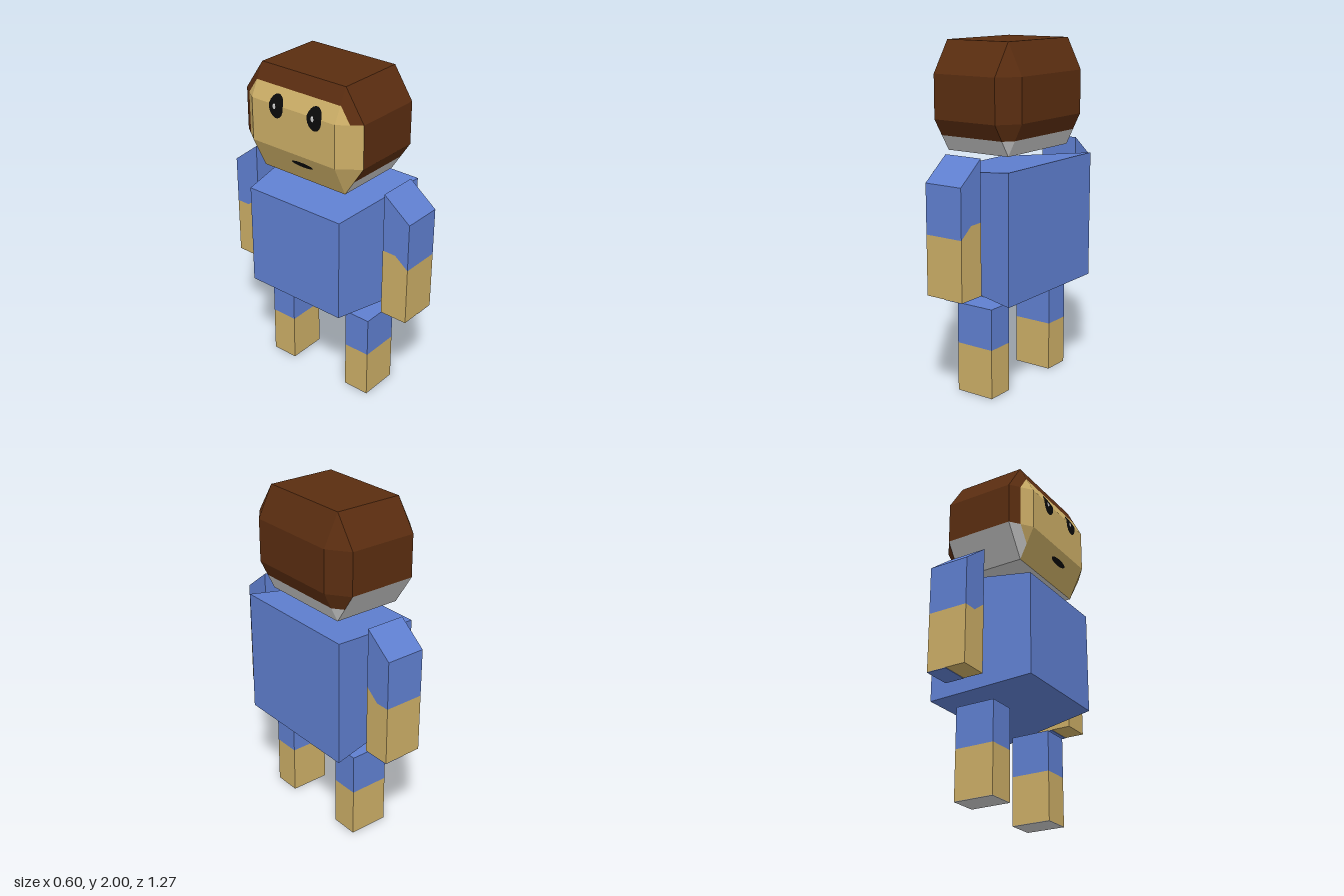
import * as THREE from 'three';

const material = (name, color) => Object.assign(new THREE.MeshStandardMaterial({ color }), { name });

// Flat mesh from convex polygons, each turned to face away from a centre point
function faceted(name, polygons, mat, centre) {
  const pos = [];
  for (const poly of polygons) {
    const p = poly.map(a => new THREE.Vector3(...a));
    const normal = new THREE.Vector3();
    p.forEach((a, i) => normal.add(new THREE.Vector3().crossVectors(a, p[(i + 1) % p.length])));
    if (normal.dot(p[0].clone().sub(centre)) < 0) p.reverse();
    for (let i = 1; i < p.length - 1; i++)
      for (const v of [p[0], p[i], p[i + 1]]) pos.push(v.x, v.y, v.z);
  }
  const g = new THREE.BufferGeometry();
  g.setAttribute('position', new THREE.Float32BufferAttribute(pos, 3));
  g.computeVertexNormals();
  const mesh = new THREE.Mesh(g, mat);
  mesh.name = name;
  return mesh;
}

// Split a convex polygon by the sign of f: [positive part, negative part]
function cut(poly, f) {
  const parts = [[], []];
  poly.forEach((a, i) => {
    const b = poly[(i + 1) % poly.length], fa = f(a), fb = f(b);
    parts[fa >= 0 ? 0 : 1].push(a);
    if (fa * fb < 0) {
      const m = a.map((v, k) => v + (b[k] - v) * fa / (fa - fb));
      parts[0].push(m);
      parts[1].push(m);
    }
  });
  return parts;
}

// Prism from a [z, y] outline, running from x0 to x1
function prism(name, outline, x0, x1, mat) {
  const shape = new THREE.Shape(outline.map(([z, y]) => new THREE.Vector2(-z, y)));
  const g = new THREE.ExtrudeGeometry(shape, { depth: x1 - x0, bevelEnabled: false });
  g.rotateY(Math.PI / 2).translate(x0, 0, 0);
  const mesh = new THREE.Mesh(g, mat);
  mesh.name = name;
  return mesh;
}

export function createModel() {
  const hair = material('brown hair', 0x5a2d10);
  const skin = material('tan skin', 0xcbad66);
  const cloth = material('blue cloth', 0x5f7fd0);
  const pale = material('pale grey', 0xcccccc);
  const black = material('black', 0x0a0a0a);
  const model = new THREE.Group();
  model.name = 'blockyFigure';

  // Head: a chamfered box with its face towards -x
  const head = new THREE.Group();
  head.name = 'head';
  const centre = new THREE.Vector3(0, 1.69, 0.01);
  const yBase = 1.385, yLow = 1.57, yHigh = 1.82, yTop = 2;
  const X = { '-1': [-0.3, -0.21], '1': [0.295, 0.205] };
  const Z = { '-1': [-0.403, -0.28], '1': [0.417, 0.297] };
  const onX = (s, y, t) => [X[s][0], y, Z[t][1]];
  const onZ = (s, y, t) => [X[s][1], y, Z[t][0]];
  const cap = (s, y, t) => [X[s][1], y, Z[t][1]];
  const parts = { hair: [], skin: [], pale: [] };
  const add = (key, poly) => { if (poly.length > 2) parts[key].push(poly); };
  const split = (poly, f, above, below) => {
    const [p, n] = cut(poly, f);
    add(above, p);
    add(below, n);
  };
  const hairline = a => a[1] - 1.475;
  const rect = y => [cap(-1, y, -1), cap(-1, y, 1), cap(1, y, 1), cap(1, y, -1)];
  add('hair', rect(yTop));
  add('pale', rect(yBase));

  for (const s of [-1, 1]) {
    // front and back of the head with their sloping bands
    add(s < 0 ? 'skin' : 'hair', [onX(s, yLow, -1), onX(s, yLow, 1), onX(s, yHigh, 1), onX(s, yHigh, -1)]);
    const upper = [onX(s, yHigh, -1), onX(s, yHigh, 1), cap(s, yTop, 1), cap(s, yTop, -1)];
    const lower = [onX(s, yLow, -1), onX(s, yLow, 1), cap(s, yBase, 1), cap(s, yBase, -1)];
    if (s < 0) {
      split(upper, a => a[1] - 1.91, 'hair', 'skin');
      add('skin', lower);
    } else {
      add('hair', upper);
      split(lower, hairline, 'hair', 'pale');
    }
    // sides with their sloping bands
    add('hair', [onZ(-1, yLow, s), onZ(1, yLow, s), onZ(1, yHigh, s), onZ(-1, yHigh, s)]);
    add('hair', [onZ(-1, yHigh, s), onZ(1, yHigh, s), cap(1, yTop, s), cap(-1, yTop, s)]);
    const under = [onZ(-1, yLow, s), onZ(1, yLow, s), cap(1, yBase, s), cap(-1, yBase, s)];
    if (s > 0) split(under, hairline, 'hair', 'pale');
    else add('pale', under);
    // upright corners and the triangles at their ends
    for (const t of [-1, 1]) {
      const post = [onX(s, yLow, t), onZ(s, yLow, t), onZ(s, yHigh, t), onX(s, yHigh, t)];
      const topTri = [onX(s, yHigh, t), onZ(s, yHigh, t), cap(s, yTop, t)];
      const lowTri = [onX(s, yLow, t), onZ(s, yLow, t), cap(s, yBase, t)];
      const half = a => a[0] + 0.253;
      if (s > 0) {
        add('hair', post);
        add('hair', topTri);
        split(lowTri, hairline, 'hair', 'pale');
      } else {
        split(topTri, half, 'hair', 'skin');
        if (t > 0) {
          add('skin', post);
          add('skin', lowTri);
        } else {
          split(post, half, 'hair', 'skin');
          split(lowTri, half, 'pale', 'skin');
        }
      }
    }
  }
  head.add(
    faceted('hair', parts.hair, hair, centre),
    faceted('face', parts.skin, skin, centre),
    faceted('headUnderside', parts.pale, pale, centre));

  // Eyes and mouth: thin faces following the folds of the face
  const faceX = y => -0.3 + Math.max(0, (y - yHigh) * 0.5, (yLow - y) * 0.486);
  const decal = (name, outline, lift, mat) => {
    const flat = outline.map(([z, y]) => [0, y, z]);
    const pieces = cut(flat, a => a[1] - yHigh).filter(p => p.length > 2)
      .map(p => p.map(([, y, z]) => [faceX(y) - lift, y, z]));
    head.add(faceted(name, pieces, mat, centre));
  };
  const ellipse = (z, y, rz, ry) => Array.from({ length: 20 }, (_, i) => {
    const a = (i + 0.5) / 20 * Math.PI * 2;
    return [z + rz * Math.cos(a), y + ry * Math.sin(a)];
  });
  for (const z of [-0.105, 0.16]) {
    decal('eye', ellipse(z, 1.812, 0.05, 0.066), 0.003, black);
    decal('eyeGlint', ellipse(z - 0.01, 1.812, 0.01, 0.016), 0.006, pale);
  }
  decal('mouth', ellipse(0.05, 1.505, 0.075, 0.017), 0.003, black);
  model.add(head);

  // Torso: a box that narrows towards the front of the body
  const torsoGeo = new THREE.BoxGeometry(1, 1, 1).toNonIndexed();
  const p = torsoGeo.attributes.position;
  for (let i = 0; i < p.count; i++) {
    const back = p.getX(i) > 0, up = p.getY(i) > 0, left = p.getZ(i) > 0;
    p.setXYZ(i, back ? 0.295 : -0.3,
      back ? (up ? 1.325 : 0.58) : (up ? 1.255 : 0.645),
      back ? (left ? 0.417 : -0.403) : (left ? 0.33 : -0.32));
  }
  torsoGeo.computeVertexNormals();
  const torso = new THREE.Mesh(torsoGeo, cloth);
  torso.name = 'torso';
  model.add(torso);

  // Arms and legs
  const x0 = -0.09, x1 = 0.15;
  const limbs = [
    { side: 'left', inner: 0.47, outer: 0.64, midY: 1.045, legIn: 0.215, legOut: 0.38 },
    { side: 'right', inner: -0.467, outer: -0.635, midY: 0.98, legIn: -0.195, legOut: -0.36 },
  ];
  for (const { side, inner, outer, midY, legIn, legOut } of limbs) {
    const mid = (inner + outer) / 2;
    const cuff = [[outer, 0.98], [mid, midY], [inner, 1.047]];
    const arm = new THREE.Group();
    arm.name = side + 'Arm';
    arm.add(
      prism('sleeve', [...cuff, [inner, 1.395], [outer, 1.263]], x0, x1, cloth),
      prism('forearm', [...cuff, [inner, 0.637], [outer, 0.637]], x0, x1, skin),
      prism('palmPatch', [[inner, 0.637], [outer, 0.637], [outer, 0.634], [inner, 0.634]], 0.03, x1, cloth));
    const block = (name, a, b, mat) =>
      prism(name, [[legIn, a], [legOut, a], [legOut, b], [legIn, b]], x0, x1, mat);
    const leg = new THREE.Group();
    leg.name = side + 'Leg';
    leg.add(
      block('trouser', 0.29, 0.53, cloth),
      block('shin', 0.003, 0.29, skin),
      block('sole', 0, 0.003, pale));
    model.add(arm, leg);
  }
  return model;
}
